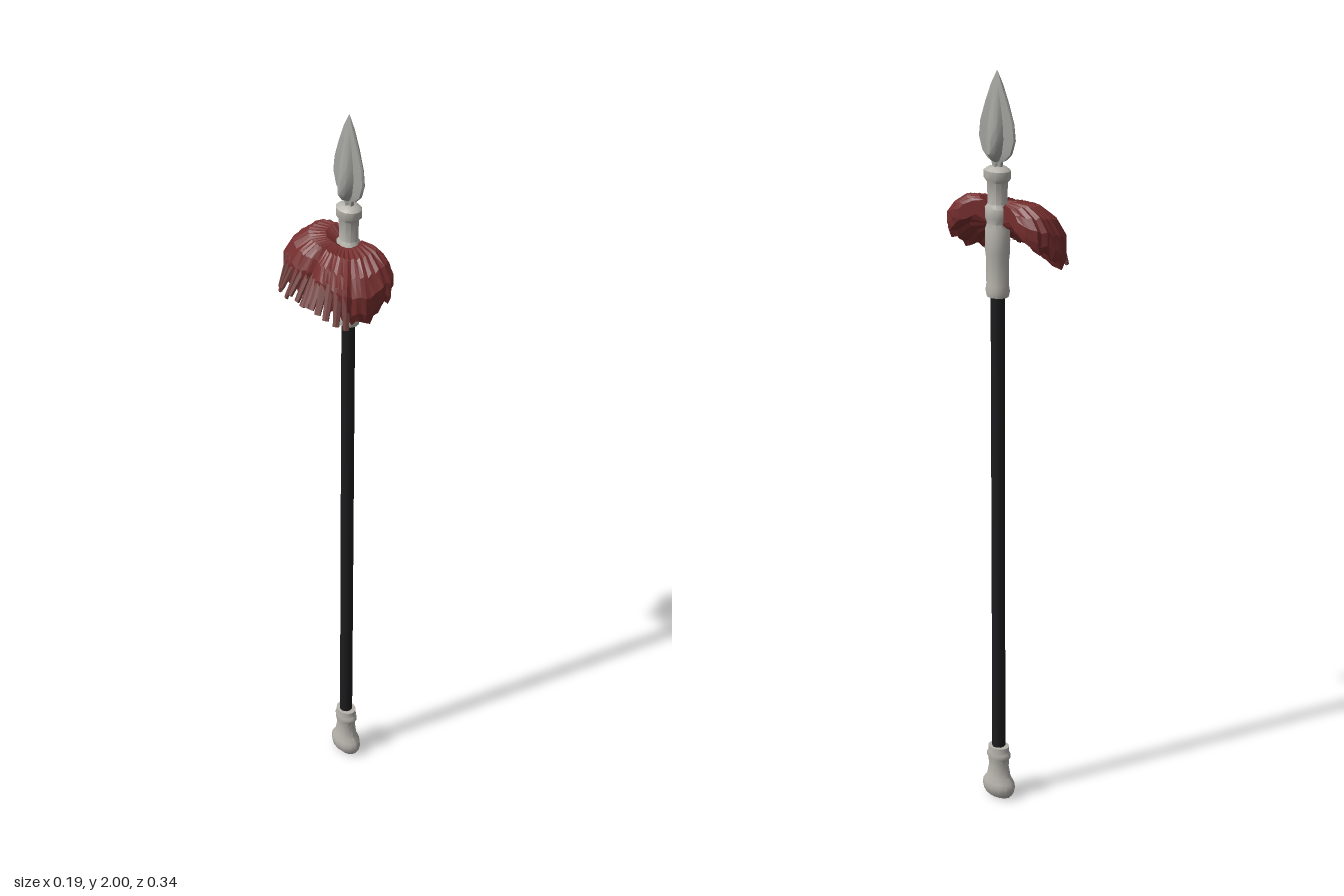
import * as THREE from 'three';
import { toCreasedNormals } from 'three/addons/utils/BufferGeometryUtils.js';

const CX = 0.055; // the spear axis sits off-centre because the plume hangs to one side

const mat = (name, color, extra = {}) => {
  const m = new THREE.MeshStandardMaterial({ color, ...extra });
  m.name = name;
  return m;
};

// Skin a list of equal-length closed rings of [x, y, z] points.
function loft(rings) {
  const n = rings[0].length, idx = [];
  for (let r = 0; r < rings.length - 1; r++)
    for (let i = 0; i < n; i++) {
      const a = r * n + i, b = r * n + (i + 1) % n;
      idx.push(a, b, b + n, a, b + n, a + n);
    }
  const g = new THREE.BufferGeometry();
  g.setAttribute('position', new THREE.Float32BufferAttribute(rings.flat(2), 3));
  g.setIndex(idx);
  g.computeVertexNormals();
  return g;
}

// Stack of elliptical rings: rows are [y, half width in x, half width in z].
function oval(rows, sides = 12) {
  return toCreasedNormals(loft(rows.map(([y, rx, rz]) =>
    Array.from({ length: sides }, (_, i) => {
      const a = (i / sides) * Math.PI * 2;
      return [Math.sin(a) * rx, y, Math.cos(a) * rz];
    }))), 0.7);
}

// Piecewise-linear lookup in [[key, value], ...].
function lookup(table, k) {
  for (let i = 1; i < table.length; i++) {
    const [k0, v0] = table[i - 1], [k1, v1] = table[i];
    if (k <= k1) return v0 + (v1 - v0) * Math.max(0, (k - k0) / (k1 - k0));
  }
  return table[table.length - 1][1];
}

// Repeatable pseudo-random value in -1..1.
const noise = (i) => {
  const s = Math.sin(i * 127.1 + 3.7) * 43758.5453;
  return (s - Math.floor(s)) * 2 - 1;
};

// Plume outline by angle (degrees) away from -x.
const BODY_R = [[0, 0.115], [35, 0.143], [50, 0.163], [65, 0.176], [90, 0.165], [100, 0.145], [110, 0.108]];
const FRINGE_R = [[0, 0.145], [35, 0.168], [50, 0.174]];
const TIP_Y = [[0, 1.545], [35, 1.535], [50, 1.52], [65, 1.515], [90, 1.56], [110, 1.61]];
const CREST_Y = [[0, 1.664], [50, 1.668], [90, 1.678], [110, 1.67]];

function plumeBody() {
  const steps = 56, rings = [];
  for (let s = 0; s <= steps; s++) {
    const deg = -110 + (220 * s) / steps, k = Math.abs(deg), th = THREE.MathUtils.degToRad(deg);
    const pleat = s % 2 ? 1 : -1;
    const R = lookup(BODY_R, k) + 0.003 * noise(s);
    const tip = lookup(TIP_Y, k) + 0.012 * noise(s + 80), top = lookup(CREST_Y, k);
    const d = top - tip;
    // cross-section: root, over the crest, down to the tip, back underneath
    const section = [
      [0.015, 1.645], [R * 0.35, top], [R * 0.62, top - d * 0.04 + pleat * 0.002],
      [R * 0.86, top - d * 0.24 + pleat * 0.002], [R + pleat * 0.002, top - d * 0.52],
      [R + pleat * 0.003, top - d * 0.82], [R * 0.95, tip], [R * 0.8, tip + d * 0.06],
      [R * 0.55, tip + d * 0.32], [0.015, 1.61],
    ];
    rings.push(section.map(([r, y]) => [-r * Math.cos(th), y, r * Math.sin(th)]));
  }
  // close both ends on their middle points
  const close = (ring) => {
    const c = [0, 1, 2].map((a) => ring.reduce((t, p) => t + p[a], 0) / ring.length);
    return ring.map(() => c);
  };
  return loft([close(rings[0]), ...rings, close(rings[steps])]);
}

export function createModel() {
  const bone = mat('pale metal', 0xb5b2ab);
  const steel = mat('blade steel', 0xa2a29e);
  const black = mat('black shaft', 0x1c1c1e);
  const red = mat('plume red', 0x752d2d, { flatShading: true, side: THREE.DoubleSide });
  const faded = mat('faded fringe', 0x754542, { flatShading: true });

  const model = new THREE.Group();
  model.name = 'spear';
  const spear = new THREE.Group();
  spear.name = 'spearParts';
  spear.position.x = CX;
  model.add(spear);
  const add = (name, geo, material, parent = spear) => {
    const m = new THREE.Mesh(geo, material);
    m.name = name;
    parent.add(m);
    return m;
  };

  add('shaft', new THREE.CylinderGeometry(0.018, 0.018, 1.36, 10), black).position.y = 0.78;

  // Foot, widened along z
  add('pommel', oval([
    [0, 0, 0], [0, 0.02, 0.036], [0.012, 0.03, 0.047], [0.03, 0.034, 0.051], [0.045, 0.032, 0.048],
    [0.06, 0.027, 0.036], [0.09, 0.024, 0.029], [0.112, 0.025, 0.031], [0.118, 0.026, 0.036],
    [0.128, 0.026, 0.036], [0.135, 0.025, 0.031], [0.15, 0.025, 0.031], [0.152, 0, 0],
  ]), bone);

  // Sleeve joining shaft and blade
  add('socket', oval([
    [1.425, 0, 0], [1.425, 0.026, 0.03], [1.44, 0.029, 0.033], [1.455, 0.026, 0.031],
    [1.52, 0.026, 0.031], [1.54, 0.029, 0.033], [1.6, 0.029, 0.033], [1.615, 0.025, 0.028],
    [1.63, 0.029, 0.034], [1.655, 0.029, 0.034], [1.665, 0.023, 0.026], [1.72, 0.024, 0.028],
    [1.73, 0.03, 0.037], [1.75, 0.03, 0.037], [1.758, 0.022, 0.026], [1.762, 0, 0],
  ]), bone);

  // Leaf blade: thin cutting edges along z, raised rib along x
  const blade = [
    [1.755, 0.012, 0.014], [1.772, 0.011, 0.016], [1.778, 0.022, 0.03], [1.795, 0.033, 0.048],
    [1.83, 0.03, 0.06], [1.87, 0.024, 0.055], [1.92, 0.015, 0.037], [1.965, 0.008, 0.018], [2, 0, 0],
  ].map(([y, x, z]) => {
    const e = Math.min(0.006, x * 0.6);
    const q = [[e * 0.7, z * 0.95], [e, z * 0.42], [x * 0.75, z * 0.28], [x, z * 0.06]];
    const back = q.map(([a, b]) => [a, -b]).reverse();
    const half = [[0, z], ...q, ...back];
    return [...half, ...half.map(([a, b]) => [-a, -b])].map(([a, b]) => [a, y, b]);
  });
  add('blade', toCreasedNormals(loft(blade), 0.5), steel);

  // Horsehair plume draped behind the socket
  const plume = new THREE.Group();
  plume.name = 'plume';
  spear.add(plume);
  add('plumeBody', plumeBody(), red, plume);

  // Separate lock ends showing beyond the lower edge
  for (let i = -6; i <= 6; i++) {
    const deg = i * 8.3 + noise(i + 20), k = Math.abs(deg), th = THREE.MathUtils.degToRad(deg);
    const at = (r, y) => new THREE.Vector3(-r * Math.cos(th), y, r * Math.sin(th));
    const root = at(lookup(BODY_R, k) - 0.012, 1.605);
    const tip = at(lookup(FRINGE_R, k) + 0.003 * noise(i + 9), lookup(TIP_Y, k) - 0.012 + 0.01 * noise(i + 50));
    const up = root.clone().sub(tip), len = up.length();
    const side = new THREE.Vector3(Math.sin(th), 0, Math.cos(th));
    up.normalize();
    const geo = new THREE.CylinderGeometry(0.012, 0.009, len, 6);
    geo.scale(1, 1, 0.6);
    geo.applyMatrix4(new THREE.Matrix4().makeBasis(side, up, side.clone().cross(up)));
    geo.translate(...root.add(tip).multiplyScalar(0.5).toArray());
    add('fringeLock', geo, faded, plume);
  }
  return model;
}
